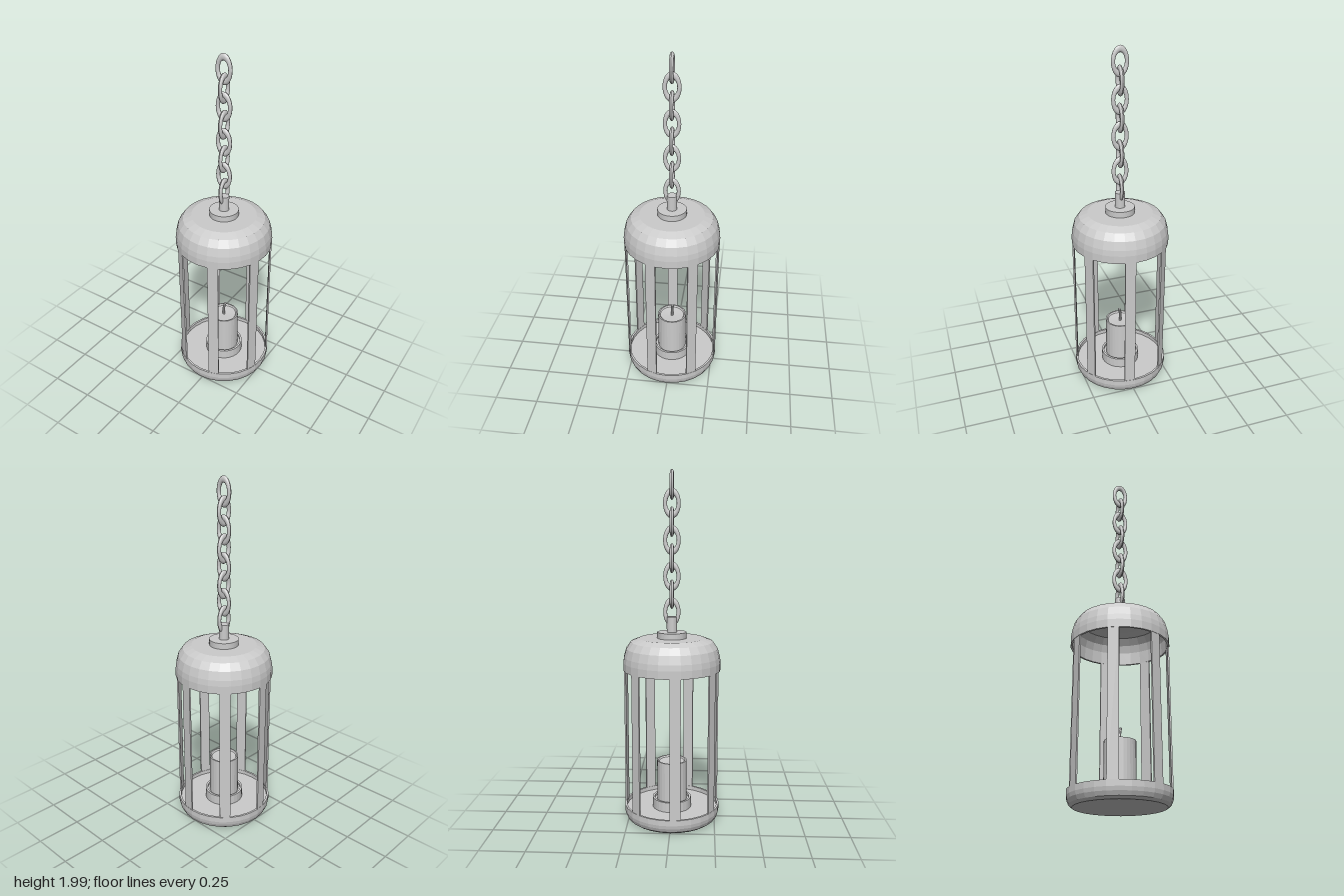
import * as THREE from 'three';

const SIDES = 28;
const STEP = (Math.PI * 2) / SIDES;

export function createModel() {
  const lantern = new THREE.Group();
  lantern.name = 'hangingLantern';
  const faceted = new THREE.MeshStandardMaterial({ color: 0xcccccc, flatShading: true });
  const smooth = new THREE.MeshStandardMaterial({ color: 0xcccccc });

  const add = (name, geometry, material = faceted, parent = lantern) => {
    const mesh = new THREE.Mesh(geometry, material);
    mesh.name = name;
    parent.add(mesh);
    return mesh;
  };
  // Profiles run from the bottom axis, up the outside, back to the axis.
  const turned = (points, sides = SIDES) =>
    new THREE.LatheGeometry(points.map(([r, y]) => new THREE.Vector2(r, y)), sides);

  // Base tray with rounded underside and recessed floor
  add('baseTray', turned([
    [0, 0.005], [0.245, 0.005], [0.262, 0.018], [0.272, 0.04], [0.276, 0.06],
    [0.276, 0.092], [0.264, 0.092], [0.264, 0.068], [0, 0.068],
  ]));

  // Hollow domed cap: inner ceiling and wall, then the outer shell
  add('cap', turned([
    [0, 1.06], [0.18, 1.06], [0.224, 1.044], [0.25, 1.005], [0.262, 0.962],
    [0.265, 0.89], [0.277, 0.89], [0.277, 0.935], [0.273, 0.967],
    [0.26, 1.015], [0.233, 1.053], [0.185, 1.072], [0, 1.072],
  ]));

  // Seven flat bars, each filling one facet of the round cage
  const bars = new THREE.Group();
  bars.name = 'cageBars';
  lantern.add(bars);
  const barGeometry = new THREE.BoxGeometry(0.061, 0.83, 0.009);
  barGeometry.translate(0, 0.49, 0.2685);
  for (let i = 0; i < 7; i++) {
    add('cageBar', barGeometry, faceted, bars).rotation.y = (1.5 + 4 * i) * STEP;
  }

  // Candle standing in its holder
  add('candleHolder', turned([
    [0, 0.065], [0.112, 0.065], [0.112, 0.126], [0.1, 0.126], [0.1, 0.112], [0, 0.112],
  ]));
  add('candle', turned([
    [0, 0.1], [0.086, 0.1], [0.086, 0.351], [0.078, 0.351], [0.072, 0.343], [0, 0.338],
  ]));
  const wickPath = new THREE.CatmullRomCurve3([
    new THREE.Vector3(0, 0.33, 0),
    new THREE.Vector3(-0.002, 0.375, 0),
    new THREE.Vector3(0.002, 0.405, -0.002),
    new THREE.Vector3(0.006, 0.42, -0.005),
  ]);
  add('wick', new THREE.TubeGeometry(wickPath, 8, 0.008, 8));
  const wickTip = add('wickTip', new THREE.SphereGeometry(0.008, 8, 6));
  wickTip.position.set(0.006, 0.42, -0.005);

  // Collar and post on top of the cap
  add('collar', turned([[0, 1.065], [0.083, 1.065], [0.083, 1.106], [0, 1.106]], 48), faceted);
  add('hangingPost', turned([[0, 1.1], [0.029, 1.1], [0.029, 1.193], [0, 1.193]], 24), faceted);

  // Chain of oval links, alternately facing front and side
  const chain = new THREE.Group();
  chain.name = 'chain';
  lantern.add(chain);
  const linkGeometry = new THREE.TorusGeometry(0.0375, 0.011, 10, 28);
  linkGeometry.scale(1, 1.7, 1);
  linkGeometry.computeVertexNormals();
  for (let i = 0; i < 8; i++) {
    const link = add('chainLink', linkGeometry, smooth, chain);
    link.position.y = 1.9175 - i * 0.0997;
    link.rotation.y = (i % 2) * Math.PI / 2;
  }

  return lantern;
}
